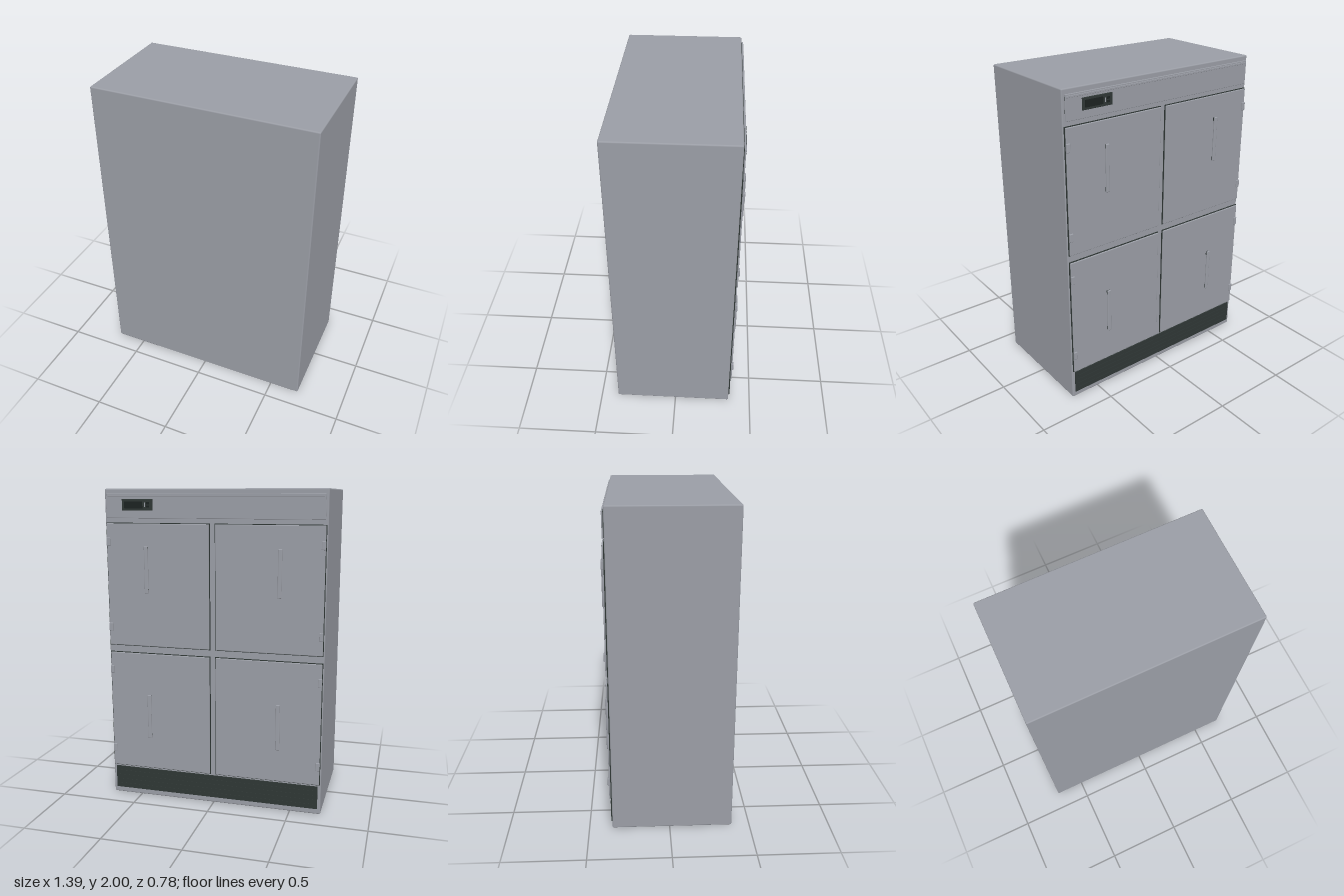
import * as THREE from 'three';
import { RoundedBoxGeometry } from 'three/addons/geometries/RoundedBoxGeometry.js';

export function createModel() {
  const mat = (name, color) => {
    const m = new THREE.MeshStandardMaterial({ color });
    m.name = name;
    return m;
  };
  const grey = mat('cabinet grey', 0x9a9da5);
  const dark = mat('dark trim', 0x2f3735);
  const black = mat('screen black', 0x1c2221);

  const model = new THREE.Group();
  model.name = 'fourDoorCabinet';

  // Box given by its limits; radius > 0 softens the edges
  const box = (name, m, x0, x1, y0, y1, z0, z1, radius = 0, parent = model) => {
    const w = x1 - x0, h = y1 - y0, d = z1 - z0;
    const g = radius ? new RoundedBoxGeometry(w, h, d, 2, radius) : new THREE.BoxGeometry(w, h, d);
    const mesh = new THREE.Mesh(g, m);
    mesh.position.set((x0 + x1) / 2, (y0 + y1) / 2, (z0 + z1) / 2);
    mesh.name = name;
    parent.add(mesh);
    return mesh;
  };

  // Carcass
  box('body', grey, -0.695, 0.695, 0, 2, -0.357, 0.389, 0.008);

  // Upper control panel with its seal and raised rail
  box('panelSeal', dark, -0.677, 0.677, 1.825, 1.968, -0.362, -0.354);
  box('controlPanel', grey, -0.68, 0.68, 1.822, 1.971, -0.369, -0.361, 0.003);
  box('panelRail', grey, -0.67, 0.67, 1.95, 1.962, -0.372, -0.367, 0.002);

  // Display with screen, buttons and indicator
  box('displayFrame', dark, 0.375, 0.575, 1.868, 1.938, -0.375, -0.367, 0.003);
  box('displayScreen', black, 0.44, 0.558, 1.882, 1.924, -0.377, -0.374);
  for (const y of [1.886, 1.906]) box('displayButton', black, 0.395, 0.415, y, y + 0.013, -0.378, -0.374);
  box('displayIndicator', grey, 0.421, 0.427, 1.89, 1.916, -0.3765, -0.374);

  // Four doors, each with seal, two hinges and a bar handle
  for (const side of [1, -1]) {
    for (const base of [1.02, 0.2]) {
      const top = base === 1.02 ? 1.79 : 0.97;
      const handleY = base === 1.02 ? 1.36 : 0.41;
      const hinges = base === 1.02 ? [1.11, 1.65] : [0.295, 0.83];
      const door = new THREE.Group();
      door.name = (base > 1 ? 'upper' : 'lower') + (side > 0 ? 'Left' : 'Right') + 'Door';
      model.add(door);
      // Mirrored box across x = 0
      const part = (name, m, a, b, y0, y1, z0, z1, r = 0) =>
        box(name, m, side > 0 ? a : -b, side > 0 ? b : -a, y0, y1, z0, z1, r, door);

      part('doorSeal', dark, 0.016, 0.688, base - 0.004, top + 0.004, -0.363, -0.354);
      part('doorPanel', grey, 0.02, 0.684, base, top, -0.372, -0.361, 0.004);
      for (const y of hinges) part('hinge', grey, 0.661, 0.686, y, y + 0.052, -0.379, -0.365, 0.004);
      for (const y of [handleY + 0.004, handleY + 0.264])
        part('handlePost', dark, 0.411, 0.43, y, y + 0.024, -0.384, -0.37);
      part('handleBar', grey, 0.408, 0.433, handleY, handleY + 0.292, -0.39, -0.378, 0.005);
    }
  }

  // Kick vent with thin slats
  box('kickVent', dark, -0.675, 0.675, 0.037, 0.186, -0.364, -0.354);
  for (let i = 0; i < 4; i++) {
    const y = 0.06 + i * 0.03;
    box('ventSlat', dark, -0.655, 0.655, y, y + 0.008, -0.366, -0.363);
  }
  return model;
}
